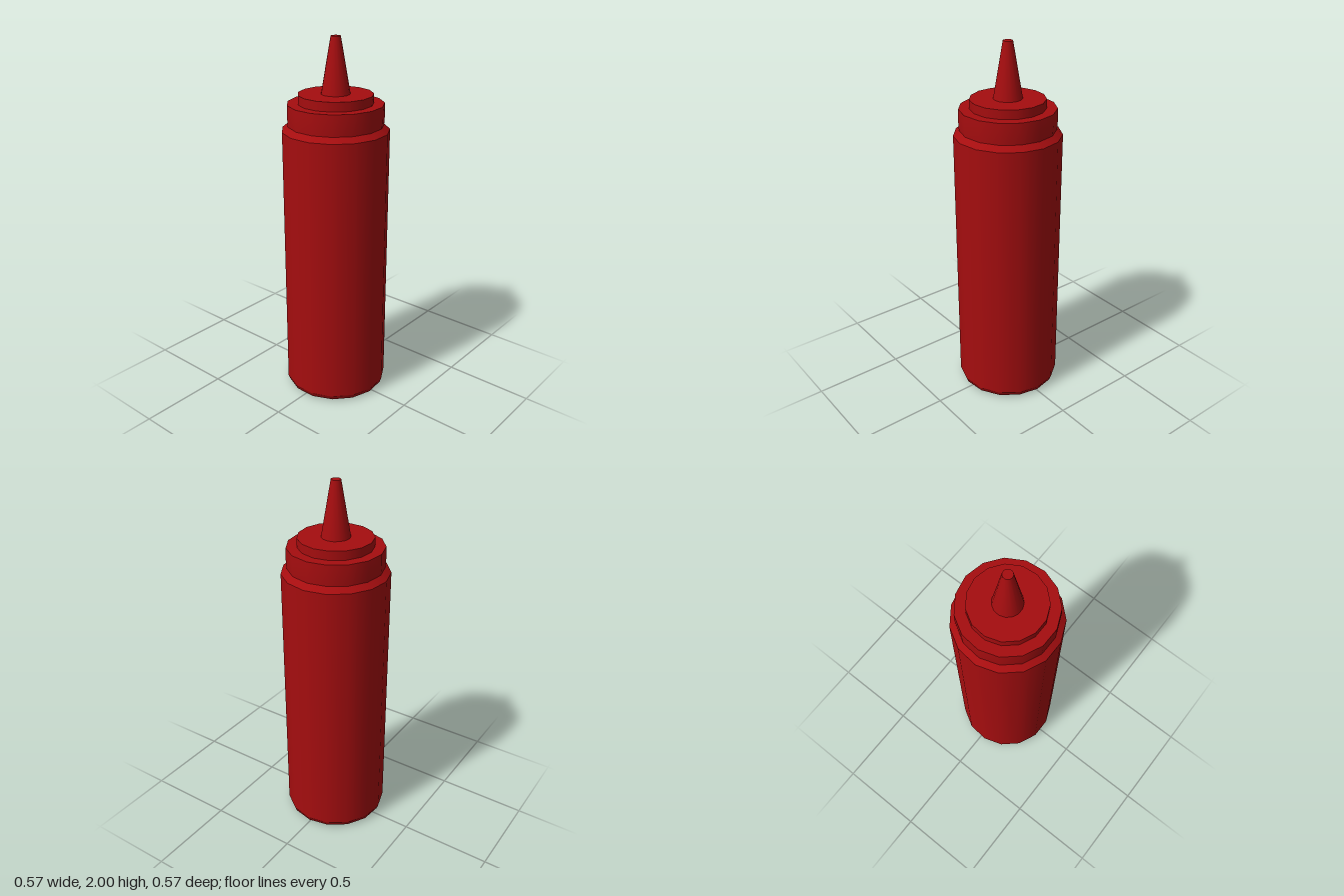
import * as THREE from 'three';
import { mergeGeometries } from 'three/addons/utils/BufferGeometryUtils.js';

const SIDES = 15;

// Revolves each run of [radius, height] points; edges between runs stay sharp
function turned(name, material, runs) {
  const parts = runs.map((run) => new THREE.LatheGeometry(
    run.map(([r, y]) => new THREE.Vector2(r, y)), SIDES, Math.PI / 2));
  const mesh = new THREE.Mesh(mergeGeometries(parts), material);
  mesh.name = name;
  return mesh;
}

export function createModel() {
  const red = new THREE.MeshStandardMaterial({ color: 0xa50d0f });
  red.name = 'red plastic';

  const bottle = new THREE.Group();
  bottle.name = 'squeezeBottle';
  bottle.position.x = -0.003; // centres the odd-sided outline

  // Body with rounded foot, sloped shoulder and short neck
  bottle.add(turned('body', red, [
    [[0, 0], [0.262, 0]],
    [[0.262, 0], [0.279, 0.011], [0.2875, 0.035]],
    [[0.2875, 0.035], [0.2875, 1.515]],
    [[0.2875, 1.515], [0.255, 1.542]],
    [[0.255, 1.542], [0.252, 1.56]],
  ]));

  // Screw cap
  bottle.add(turned('cap', red, [
    [[0.24, 1.543], [0.256, 1.543]],
    [[0.256, 1.543], [0.259, 1.6], [0.257, 1.656]],
    [[0.257, 1.656], [0.19, 1.656]],
  ]));

  // Raised disc on the cap
  bottle.add(turned('capDisc', red, [
    [[0.2, 1.65], [0.2, 1.705]],
    [[0.2, 1.705], [0, 1.705]],
  ]));

  // Tapered nozzle
  bottle.add(turned('nozzle', red, [
    [[0.078, 1.7], [0.026, 2]],
    [[0.026, 2], [0, 2]],
  ]));

  const model = new THREE.Group();
  model.name = 'model';
  model.add(bottle);
  return model;
}
